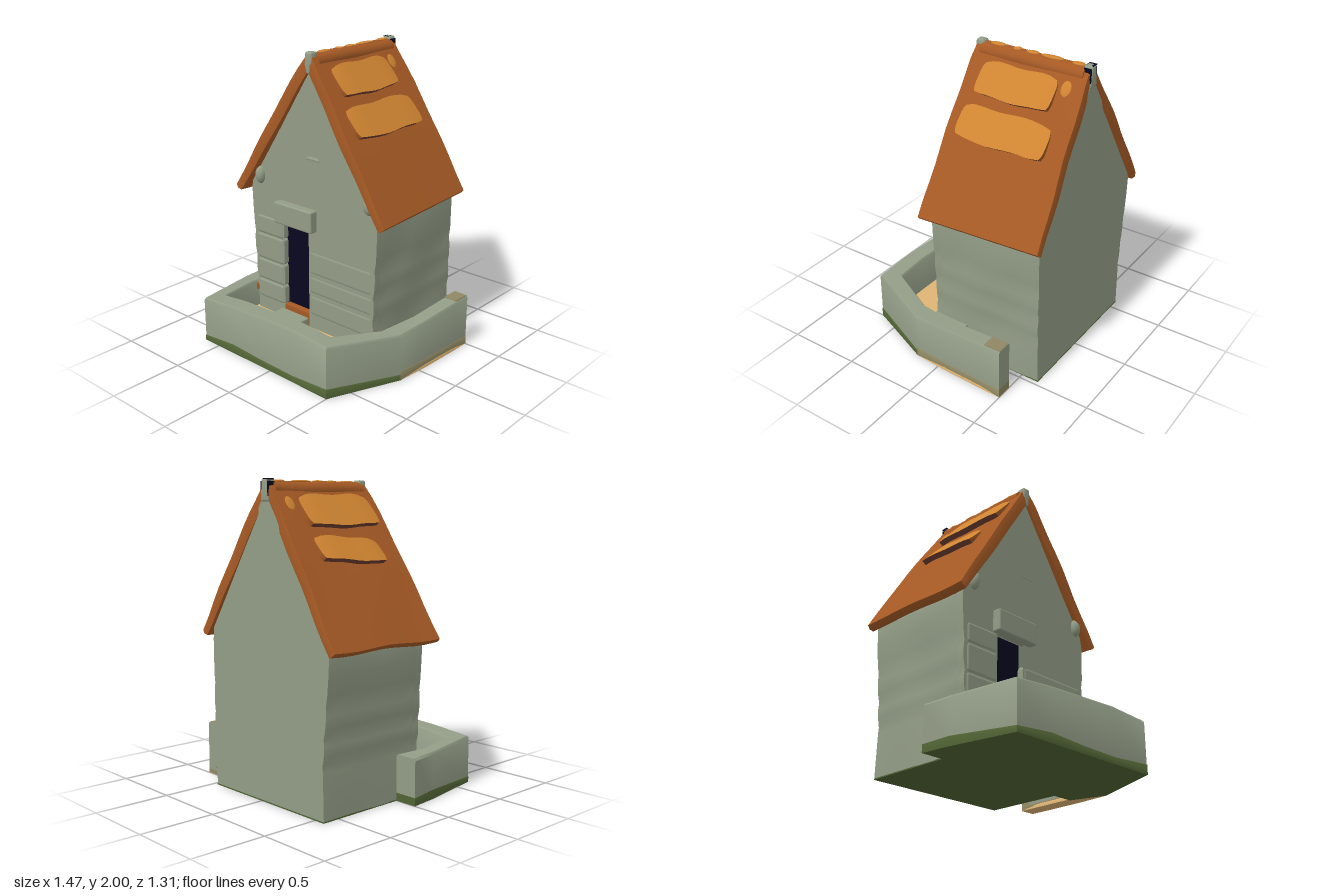
import * as THREE from 'three';
import { toCreasedNormals } from 'three/addons/utils/BufferGeometryUtils.js';
import { RoundedBoxGeometry } from 'three/addons/geometries/RoundedBoxGeometry.js';

const flat = (name, color) => Object.assign(new THREE.MeshStandardMaterial({ color }), { name });

export function createModel() {
  const stone = flat('stone', 0x939d87), roofClay = flat('roof clay', 0xa65a25), tileClay = flat('tile clay', 0xcf8431);
  const shadowBrown = flat('dark brown', 0x6e3f32), sand = flat('sand', 0xdfb474), moss = flat('moss', 0x506334);
  const navy = flat('navy', 0x070620), olive = flat('olive', 0x8f8762);

  const model = new THREE.Group();
  model.name = 'cottage';
  const add = (name, geo, mat, x = 0, y = 0, z = 0) => {
    const m = new THREE.Mesh(geo, mat);
    m.name = name;
    m.position.set(x, y, z);
    model.add(m);
    return m;
  };
  const crease = (g, a = 0.6) => toCreasedNormals(g, a);
  const warp = (g, fn) => {
    const p = g.attributes.position, v = new THREE.Vector3();
    for (let i = 0; i < p.count; i++) {
      fn(v.fromBufferAttribute(p, i));
      p.setXYZ(i, v.x, v.y, v.z);
    }
    return crease(g);
  };
  // box given by its limits, with softened edges
  const block = (name, mat, [x0, x1], [y0, y1], [z0, z1], r = 0.012) =>
    add(name, new RoundedBoxGeometry(x1 - x0, y1 - y0, z1 - z0, 2, r), mat, (x0 + x1) / 2, (y0 + y1) / 2, (z0 + z1) / 2);
  const shapeOf = pts => new THREE.Shape(pts.map(([x, y]) => new THREE.Vector2(x, y)));
  const hole = (x0, x1, y0, y1) => new THREE.Path([[x0, y0], [x0, y1], [x1, y1], [x1, y0]].map(p => new THREE.Vector2(...p)));

  // House: pentagon with slightly bulging courses, and a front layer with openings
  const outline = [[-0.575, 0.006], [-0.575, 0.3], [-0.572, 0.34], [-0.583, 0.4], [-0.585, 0.46], [-0.58, 0.5],
    [-0.592, 0.56], [-0.597, 0.64], [-0.593, 0.69], [-0.604, 0.76], [-0.614, 0.88], [-0.62, 1.0], [-0.6, 1.09],
    [-0.06, 1.92], [0.475, 1.1], [0.49, 0.98], [0.488, 0.75], [0.479, 0.69], [0.485, 0.63], [0.482, 0.55],
    [0.474, 0.5], [0.48, 0.44], [0.478, 0.38], [0.47, 0.33], [0.475, 0.26], [0.47, 0.006]];
  const wobble = v => { v.x += 0.005 * Math.sin(v.z * 11 + v.y * 6) * (v.y < 1.05 ? 1 : 0); };
  const slab = (pts, depth, z, steps, holes = []) => {
    const s = shapeOf(pts);
    s.holes.push(...holes);
    const g = new THREE.ExtrudeGeometry(s, { depth, steps, bevelEnabled: false });
    g.translate(0, 0, z);
    return warp(g, wobble);
  };
  add('houseBody', slab(outline, 0.75, -0.62, 8), stone);
  add('frontWall', slab(outline, 0.05, 0.13, 1, [hole(-0.32, -0.09, 0.1, 0.82), hole(-0.095, 0, 1.31, 1.52)]), stone);
  block('door', navy, [-0.33, -0.08], [0.1, 0.83], [0.128, 0.136], 0.002);
  block('doorSill', roofClay, [-0.32, -0.09], [0.1, 0.21], [0.13, 0.178], 0.005);
  block('cornerPatch', roofClay, [-0.605, -0.578], [0.24, 0.285], [0.16, 0.187], 0.004);
  block('doorStep', stone, [-0.35, -0.1], [0.02, 0.17], [0.17, 0.315]);
  block('lintel', stone, [-0.355, -0.015], [0.82, 0.97], [0.15, 0.237]);
  block('windowSill', stone, [-0.1, 0.01], [1.302, 1.316], [0.15, 0.183], 0.004);

  // Stone courses beside the door
  for (const [y0, y1] of [[0.2, 0.34], [0.34, 0.495], [0.495, 0.685], [0.685, 0.82]])
    block('leftCourse', stone, [-0.575, -0.32], [y0, y1], [0.09, 0.187], 0.02);
  for (const [y0, y1] of [[0.2, 0.36], [0.36, 0.5], [0.5, 0.68]])
    block('rightCourse', stone, [-0.09, 0.467], [y0, y1], [0.09, 0.184], 0.03);

  // Round beam ends below the eaves
  for (const x of [-0.525, 0.43])
    add('beamEnd', new THREE.SphereGeometry(1, 16, 12), stone, x, 1.11, 0.18).scale.set(0.038, 0.062, 0.04);

  // Roof surface: u runs from ridge to eave, lift is measured off the slope
  const roofPoint = (v, s, u, z, lift) => {
    const dx = s > 0 ? 0.63 : -0.635, dy = -0.955, len = Math.hypot(dx, dy);
    return v.set(-0.06 + dx * u - dy / len * lift * s, 1.975 + dy * u + Math.abs(dx) / len * lift, z);
  };
  // the upper side swells gently towards the ridge
  const swell = u => 0.018 * (1 - u) + 0.012 * Math.sin(u * Math.PI);
  for (const s of [-1, 1]) {
    const g = warp(new THREE.BoxGeometry(1, 1, 1, 10, 2, 10), v => {
      const u = THREE.MathUtils.clamp(v.x + 0.5, 0, 1), w = s > 0 ? v.z + 0.5 : 0.5 - v.z, t = v.y;
      const front = 0.185 + 0.05 * Math.sqrt(u) + (s < 0 ? 0.012 : -0.015) * u, back = -0.612 - (s < 0 ? 0.03 : 0.04) * u;
      const edge = t === 0 ? 0.006 : 0;
      const z = THREE.MathUtils.lerp(back - edge, front + edge, w) + 0.004 * Math.sin(u * 14 + s);
      const reach = u * (1 + (s > 0 ? 0.03 * (w - 0.45) : 0.006 * Math.sin(w * 9)));
      roofPoint(v, s, reach + (u === 1 ? edge : 0), z,
        (t - 0.5) * 0.054 + swell(u) * (t + 0.5) + 0.003 * Math.sin(w * 8 + u * 5));
    });
    add(s > 0 ? 'leftRoofSlope' : 'rightRoofSlope', g, roofClay);
  }

  // Raised tile slabs with dark lower edges
  const tileMats = [shadowBrown, tileClay, tileClay, shadowBrown, roofClay, roofClay];
  const tile = (name, s, [u0, u1], [z0, z1], skew = 0) =>
    add(name, warp(new THREE.BoxGeometry(1, 1, 1, 8, 1, 10), v => {
      const a = v.x * 2, b = v.z * 2 * s, t = v.y - 0.5;
      const ru = a * (1 - 0.15 * b ** 6), rz = b * (1 - 0.05 * a ** 4);
      const u = (u0 + u1) / 2 + (u1 - u0) / 2 * ru + (u1 - u0) * (0.025 * Math.sin(b * 5 + u0 * 20) + skew * b);
      const z = (z0 + z1) / 2 + (z1 - z0) / 2 * rz;
      roofPoint(v, s, u, z, THREE.MathUtils.lerp(0.036, 0.066, (a + 1) / 2) + t * 0.038 - 0.01 * b ** 6);
    }), tileMats);
  tile('upperTile', 1, [0.09, 0.285], [-0.445, 0.095]);
  tile('lowerTile', 1, [0.34, 0.535], [-0.505, 0.135]);
  tile('upperTile', -1, [0.09, 0.3], [-0.445, 0.14]);
  tile('lowerTile', -1, [0.36, 0.52], [-0.46, 0.05], 0.12);

  // Round worn spots near the ridge
  for (const [s, u, z] of [[1, 0.135, -0.5], [-1, 0.14, -0.515]]) {
    const spot = add('roofSpot', new THREE.SphereGeometry(1, 16, 8), tileClay);
    roofPoint(spot.position, s, u, z, swell(u));
    spot.scale.set(0.052, 0.008, 0.036);
    spot.rotation.z = -s * 0.985;
  }

  // Ridge roll with worn spots and stone end caps
  const roll = new THREE.CylinderGeometry(0.058, 0.058, 0.735, 16, 8);
  roll.rotateX(Math.PI / 2);
  add('ridgeRoll', warp(roll, v => { v.y += 0.003 * Math.sin(v.z * 9); }), roofClay, -0.06, 1.93, -0.2125);
  for (const [z, l] of [[-0.52, 0.045], [-0.34, 0.08], [-0.2, 0.045], [-0.09, 0.03], [0.05, 0.06]])
    add('ridgeSpot', new THREE.SphereGeometry(1, 12, 8), tileClay, -0.064, 1.987, z).scale.set(0.025, 0.008, l);
  for (const [name, z] of [['frontCap', 0.17], ['backCap', -0.597]]) {
    const cap = warp(new RoundedBoxGeometry(0.075, 0.14, 0.06, 2, 0.014), v => { v.x *= v.y > 0 ? 0.75 : 1; });
    add(name, cap, stone, -0.06, 1.93, z);
  }
  for (const x of [-0.09, -0.03])
    block('backCapShade', navy, [x - 0.004, x + 0.004], [1.895, 1.985], [-0.624, -0.572], 0.002);
  block('backCapTop', navy, [-0.094, -0.045], [1.993, 2.0], [-0.624, -0.575], 0.002);

  // Garden wall stations: outer x, z, inner x, z, height
  const stations = [[-0.73, 0, -0.57, 0, 0.3], [-0.708, 0.2, -0.6, 0.22, 0.305], [-0.63, 0.64, -0.55, 0.51, 0.318],
    [-0.35, 0.643, -0.35, 0.512, 0.342], [-0.1, 0.645, -0.1, 0.515, 0.354], [0.2, 0.65, 0.2, 0.52, 0.366],
    [0.5, 0.655, 0.42, 0.52, 0.35], [0.7, 0.18, 0.56, 0.22, 0.318], [0.718, -0.05, 0.61, -0.05, 0.335],
    [0.728, -0.35, 0.616, -0.35, 0.352], [0.73, -0.5, 0.62, -0.5, 0.362]];
  const wallRun = (rows, bottom, top, c) => {
    const pos = [], idx = [], n = 6;
    rows.forEach(([ox, oz, ix, iz, h], i) => {
      const y0 = bottom(i), y1 = top(i, h);
      const ring = [[0, y0], [0, y1 - c], [c * 6, y1], [1 - c * 6, y1], [1, y1 - c], [1, y0]];
      for (const [k, y] of ring) pos.push(ox + (ix - ox) * k, y, oz + (iz - oz) * k);
    });
    const last = (rows.length - 1) * n;
    for (let i = 0; i < last; i += n)
      for (let j = 0; j < n; j++) {
        const a = i + j, b = i + (j + 1) % n;
        idx.push(a, a + n, b, b, a + n, b + n);
      }
    for (let j = 1; j < n - 1; j++) idx.push(0, j, j + 1, last, last + j + 1, last + j);
    const g = new THREE.BufferGeometry();
    g.setAttribute('position', new THREE.Float32BufferAttribute(pos, 3));
    g.setIndex(idx);
    return crease(g, 0.7);
  };
  add('gardenWall', wallRun(stations, () => 0.03, (i, h) => h, 0.014), stone);
  // Painted bands along the wall foot, slightly proud of the stone
  const proud = stations.map(([ox, oz, ix, iz, h]) => [ox + (ox - ix) * 0.02, oz + (oz - iz) * 0.02, ix, iz, h]);
  add('mossBand', wallRun(proud.slice(0, 8), () => 0.001, i => 0.052 + 0.014 * Math.sin(i * 2.4), 0.001), moss);
  add('oliveBand', wallRun(proud.slice(7), i => [0.001, 0.024, 0.022, 0.001][i], () => 0.062, 0.001), olive);
  add('sandBand', wallRun(proud.slice(7), () => 0.0005, i => [0.003, 0.026, 0.024, 0.003][i], 0.0005), sand);
  block('wallEndTop', olive, [0.628, 0.722], [0.357, 0.364], [-0.497, -0.38], 0.002);

  // Yard floor, mossy underside and the fill beside the house
  const plate = (pts, y0, y1) => {
    const g = new THREE.ExtrudeGeometry(shapeOf(pts.map(([x, z]) => [x, -z])), { depth: y1 - y0, bevelEnabled: false });
    g.rotateX(-Math.PI / 2);
    return g.translate(0, y0, 0);
  };
  add('yardFloor', plate([[-0.61, 0.1], [-0.61, 0.22], [-0.56, 0.515], [0.43, 0.525], [0.57, 0.22], [0.57, 0.1]], 0.02, 0.11), sand);
  add('floorStain', new THREE.CylinderGeometry(0.022, 0.022, 0.006, 16), olive, -0.09, 0.111, 0.49);
  add('mossBase', plate([[-0.73, 0], [-0.71, 0.2], [-0.63, 0.64], [0.5, 0.655], [0.7, 0.18], [0.63, -0.07],
    [0.472, -0.07], [0.472, -0.622], [-0.578, -0.622], [-0.578, 0]], 0, 0.008), moss);
  block('sideFill', stone, [0.45, 0.63], [0.007, 0.22], [-0.07, 0.19], 0.006);
  return model;
}
